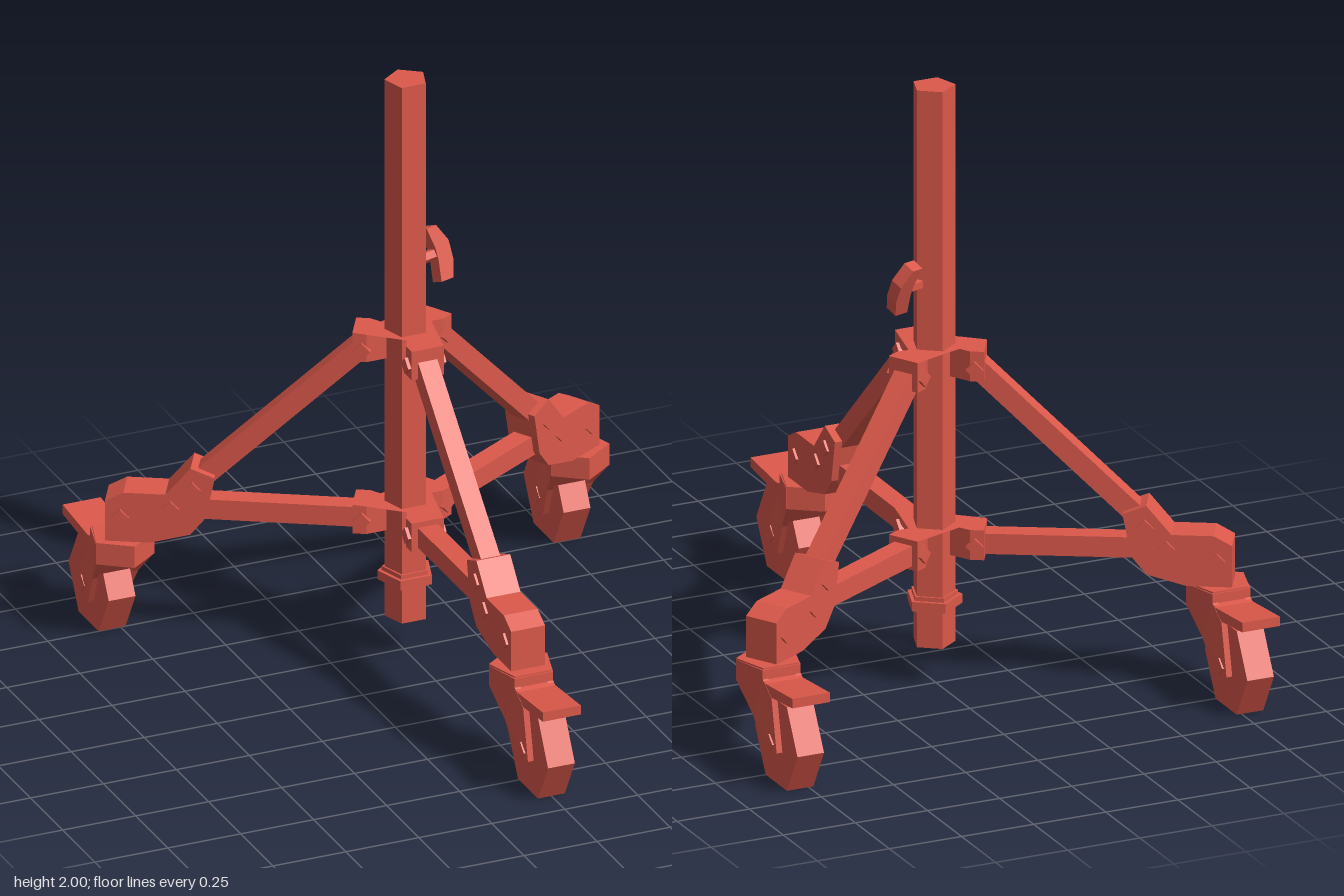
import * as THREE from 'three';

const red = new THREE.MeshStandardMaterial({ color: 0xdb584a });
red.name = 'red paint';

// Mesh with faceted normals
function part(name, geometry, parent) {
  const g = geometry.index ? geometry.toNonIndexed() : geometry;
  g.computeVertexNormals();
  const mesh = new THREE.Mesh(g, red);
  mesh.name = name;
  parent.add(mesh);
  return mesh;
}

// Side profile of [z, y] points, given a width across x
function slab(points, width) {
  const shape = new THREE.Shape(points.map(([z, y]) => new THREE.Vector2(z, y)));
  const g = new THREE.ExtrudeGeometry(shape, { depth: width, bevelEnabled: false });
  return g.translate(0, 0, -width / 2).rotateY(-Math.PI / 2);
}

// Five-sided upright prism with a corner towards -z
function pentagon(rTop, rBottom, y0, y1) {
  return new THREE.CylinderGeometry(rTop, rBottom, y1 - y0, 5)
    .rotateY(Math.PI).translate(0, (y0 + y1) / 2, 0);
}

// Four-sided pin across x
function pin(name, z, y, halfLength, parent) {
  part(name, new THREE.CylinderGeometry(0.028, 0.028, halfLength * 2, 4)
    .rotateZ(Math.PI / 2).translate(0, y, z), parent);
}

// Square bar between two [z, y] points
function bar(name, a, b, size, parent) {
  const dz = b[0] - a[0], dy = b[1] - a[1];
  part(name, new THREE.BoxGeometry(size, size, Math.hypot(dz, dy))
    .rotateX(-Math.atan2(dy, dz))
    .translate(0, (a[1] + b[1]) / 2, (a[0] + b[0]) / 2), parent);
}

// Three-armed bracket around the column
function hub(name, y, parent) {
  const points = [];
  for (let i = 0; i < 3; i++) {
    const t = i * Math.PI * 2 / 3, c = Math.cos(t), s = Math.sin(t);
    for (const [r, w] of [[0.12, -0.055], [0.165, -0.055], [0.165, 0.055], [0.12, 0.055]]) {
      points.push(new THREE.Vector2(w * -c + r * s, -(r * c + w * s)));
    }
  }
  const g = new THREE.ExtrudeGeometry(new THREE.Shape(points), { depth: 0.1, bevelEnabled: false });
  part(name, g.rotateX(-Math.PI / 2).translate(0, y - 0.05, 0), parent);
}

// Half width of the caster fork along its length
function forkWidth(z) {
  return THREE.MathUtils.mapLinear(THREE.MathUtils.clamp(z, -0.03, 0.09), -0.03, 0.09, 0.1, 0.066);
}

function reshapeX(g, rule) {
  const p = g.attributes.position;
  for (let i = 0; i < p.count; i++) p.setX(i, rule(p.getX(i) > 0 ? 1 : -1, p.getZ(i)));
  return g;
}

function caster() {
  const group = new THREE.Group();
  group.name = 'caster';
  part('swivel', pentagon(0.105, 0.105, 0.29, 0.365), group);

  // Fork bridge and the two tapering cheeks
  const bridge = slab([[-0.03, 0.36], [-0.03, 0.29], [0.03, 0.22], [0.06, 0.285], [0.09, 0.29], [0.09, 0.36]], 1);
  part('forkBridge', reshapeX(bridge, (s, z) => s * forkWidth(z)), group);
  for (const side of [-1, 1]) {
    const cheek = slab([[-0.03, 0.36], [-0.03, 0.29], [0.045, 0.2], [0.11, 0.085],
      [0.193, 0.117], [0.155, 0.29], [0.09, 0.33], [0.09, 0.36]], 1);
    part('forkCheek', reshapeX(cheek, (s, z) =>
      side * (s === side ? forkWidth(z) : forkWidth(z) - 0.02)), group);
  }

  // Wheel, axle and brake pedal
  part('wheel', new THREE.CylinderGeometry(0.156, 0.156, 0.092, 6)
    .rotateZ(Math.PI / 2).scale(1, 1.036, 1).translate(0, 0.14, 0.148), group);
  pin('axle', 0.148, 0.14, 0.073, group);
  part('brakePedal', slab([[0.05, 0.34], [0.05, 0.29], [0.13, 0.288], [0.307, 0.308],
    [0.307, 0.34], [0.11, 0.322]], 0.13), group);
  return group;
}

function leg() {
  const group = new THREE.Group();
  group.name = 'leg';
  bar('upperBrace', [0.12, 1.085], [0.68, 0.55], 0.066, group);
  bar('lowerArm', [0.1, 0.477], [0.74, 0.48], 0.068, group);
  part('footBracket', slab([[0.945, 0.365], [0.945, 0.503], [0.887, 0.535], [0.754, 0.535],
    [0.675, 0.63], [0.6, 0.6], [0.627, 0.46], [0.675, 0.4], [0.802, 0.365]], 0.116), group);
  for (const [z, y] of [[0.135, 1.07], [0.135, 0.477], [0.67, 0.556], [0.738, 0.487], [0.897, 0.45]]) {
    pin('pin', z, y, 0.066, group);
  }
  return group;
}

export function createModel() {
  const model = new THREE.Group();
  model.name = 'rollingStand';

  // Everything here is arranged around the column
  const stand = new THREE.Group();
  stand.name = 'stand';
  stand.position.z = -0.23;
  model.add(stand);

  part('column', pentagon(0.07, 0.07, 0.13, 2), stand);
  part('collar', pentagon(0.092, 0.092, 0.257, 0.288), stand);
  part('collarSleeve', pentagon(0.078, 0.078, 0.25, 0.302), stand);
  hub('upperHub', 1.08, stand);
  hub('lowerHub', 0.48, stand);

  // Three legs; the front caster trails forwards, the back ones backwards
  for (let i = 0; i < 3; i++) {
    const angle = i * Math.PI * 2 / 3;
    const l = leg();
    l.rotation.y = angle;
    stand.add(l);
    const c = caster();
    c.position.set(0.9 * Math.sin(angle), 0, 0.9 * Math.cos(angle));
    if (i > 0) c.rotation.y = Math.PI;
    stand.add(c);
  }

  // Clamp knob
  const knob = new THREE.Group();
  knob.name = 'clampKnob';
  knob.position.y = 1.35;
  knob.rotation.y = 0.31;
  stand.add(knob);
  part('knobShaft', new THREE.CylinderGeometry(0.02, 0.02, 0.1, 5)
    .rotateZ(Math.PI / 2).translate(0.08, 0, 0), knob);
  const outline = [[0.11, 0.02], [0.095, 0.088], [0.135, 0.088], [0.168, 0.03],
    [0.168, -0.03], [0.15, -0.088], [0.1, -0.088], [0.11, -0.02]];
  const grip = new THREE.ExtrudeGeometry(
    new THREE.Shape(outline.map(([x, y]) => new THREE.Vector2(x, y))), { depth: 0.044, bevelEnabled: false });
  part('knobGrip', grip.translate(0, 0, -0.022).rotateX(-0.38), knob);
  return model;
}
